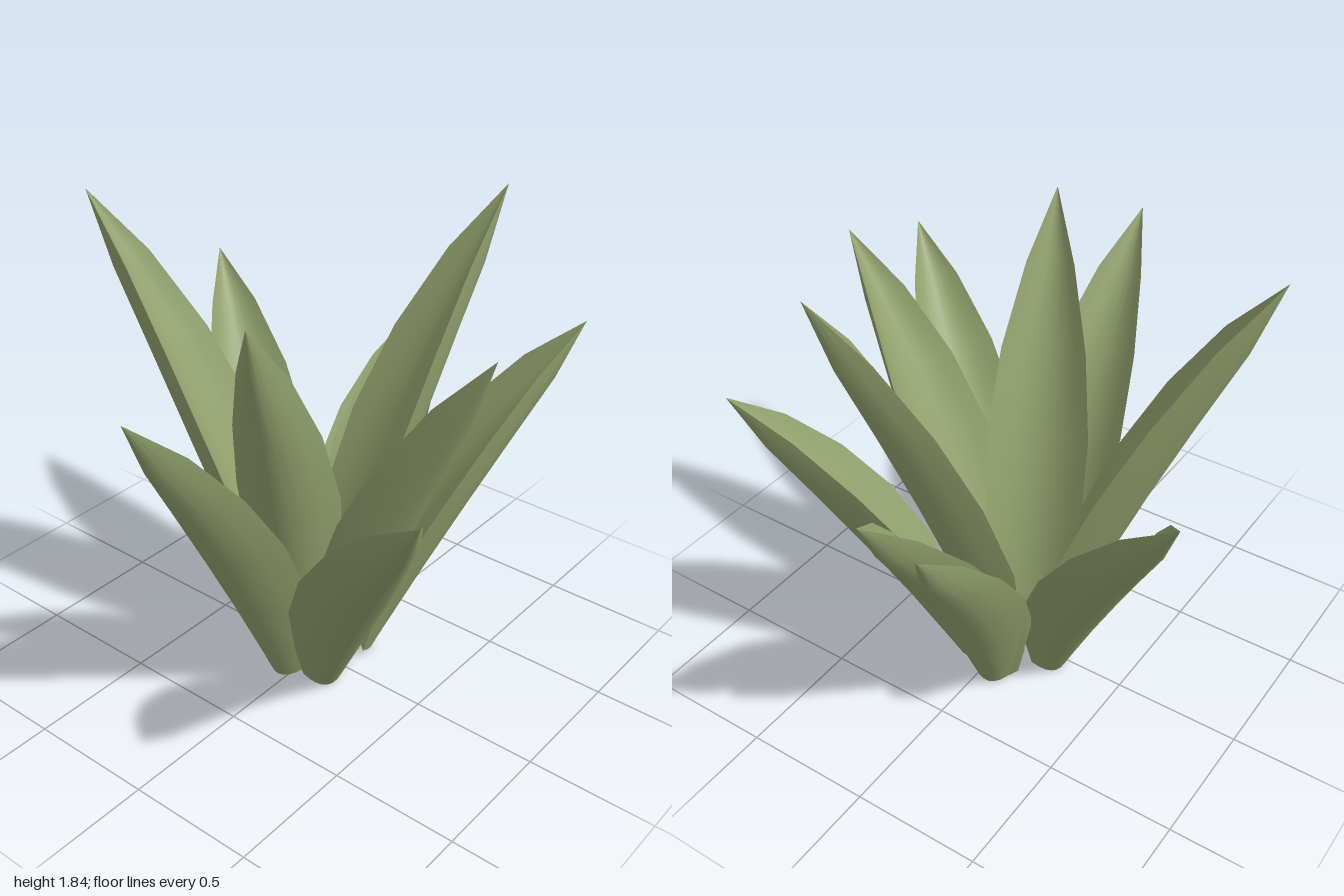
import * as THREE from 'three';

// Leaf profile rows: [t along leaf, half width, trough depth, thickness, keel lift]
const ROWS = [
  [0, 0.085, 0.06, 0.06, 0],
  [0.1, 0.13, 0.11, 0.08, 0.005],
  [0.28, 0.185, 0.165, 0.09, 0.012],
  [0.48, 0.195, 0.17, 0.085, 0.01],
  [0.67, 0.16, 0.15, 0.07, 0],
  [0.85, 0.09, 0.105, 0.045, -0.015],
  [1, 0.001, 0, 0, 0],
];
const ACROSS = 8;

// Each leaf: keel base [x, z] and tip [x, y, z]
const OUTER = [
  [[-0.25, -0.07], [-0.93, 1.35, -0.50]],
  [[-0.06, -0.27], [-0.21, 1.13, -0.86]],
  [[-0.06, -0.24], [-0.10, 1.32, -1.00]],
  [[0.13, -0.19], [0.64, 1.38, -0.77]],
  [[0.16, 0.13], [0.93, 1.33, 0.67]],
  [[-0.03, 0.20], [0.06, 1.50, 0.995]],
];
const INNER = [
  [[-0.17, 0.02], [-0.88, 1.82, 0.24]],
  [[0.0, -0.13], [0.30, 1.84, -0.72]],
  [[0.14, 0.0], [0.79, 1.59, 0.08]],
  [[-0.01, 0.12], [0.21, 1.71, 0.60]],
];

// Trough-shaped leaf: outer sheet, inner sheet and a cap closing the base
function leafGeometry([bx, bz], tip) {
  const base = new THREE.Vector3(bx, 0.005, bz);
  const axis = new THREE.Vector3(...tip).sub(base);
  const along = axis.clone().normalize();
  const side = new THREE.Vector3(0, 1, 0).cross(along).normalize();
  const inward = along.clone().cross(side);
  const pos = [], idx = [];

  const addPoint = (row, j, inner) => {
    const [t, w, depth, thick, keel] = ROWS[row];
    const u = (j / ACROSS) * 2 - 1;
    const lift = keel + depth * u * u + (inner ? thick * (1 - u * u) : 0);
    const p = base.clone().addScaledVector(axis, t)
      .addScaledVector(side, w * u).addScaledVector(inward, lift);
    pos.push(p.x, p.y, p.z);
  };

  const stride = ACROSS + 1;
  for (const inner of [false, true]) {
    const start = pos.length / 3;
    for (let i = 0; i < ROWS.length; i++)
      for (let j = 0; j <= ACROSS; j++) addPoint(i, j, inner);
    for (let i = 0; i < ROWS.length - 1; i++) {
      for (let j = 0; j < ACROSS; j++) {
        const a = start + i * stride + j, b = a + stride;
        if (inner) idx.push(a, b, a + 1, a + 1, b, b + 1);
        else idx.push(a, a + 1, b, a + 1, b + 1, b);
      }
    }
  }

  // Base cap
  const cap = pos.length / 3;
  for (let j = 0; j <= ACROSS; j++) {
    addPoint(0, j, false);
    addPoint(0, j, true);
  }
  for (let j = 0; j < ACROSS; j++) {
    const o = cap + j * 2;
    idx.push(o, o + 1, o + 2, o + 2, o + 1, o + 3);
  }

  const geo = new THREE.BufferGeometry();
  geo.setAttribute('position', new THREE.Float32BufferAttribute(pos, 3));
  geo.setIndex(idx);
  geo.computeVertexNormals();
  return geo;
}

export function createModel() {
  const model = new THREE.Group();
  model.name = 'rosettePlant';
  const green = new THREE.MeshStandardMaterial({ color: 0x94a36f });
  green.name = 'leafGreen';

  for (const [name, leaves] of [['outerLeaf', OUTER], ['innerLeaf', INNER]]) {
    leaves.forEach(([base, tip], i) => {
      const leaf = new THREE.Mesh(leafGeometry(base, tip), green);
      leaf.name = `${name}${i + 1}`;
      model.add(leaf);
    });
  }
  return model;
}
